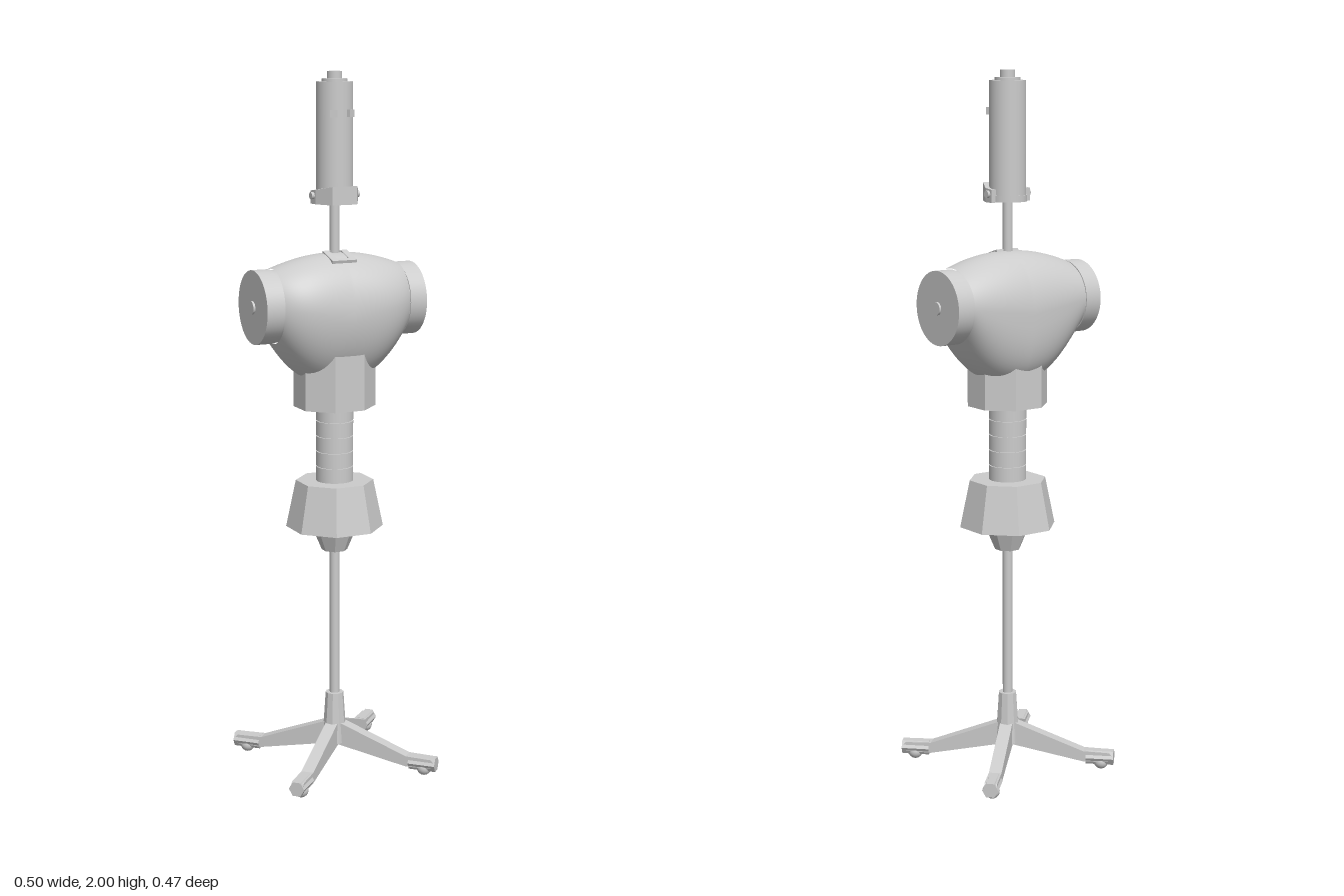
import * as THREE from 'three';
import { ParametricGeometry } from 'three/addons/geometries/ParametricGeometry.js';

const smooth = new THREE.MeshStandardMaterial({ color: 0xcccccc });
const faceted = new THREE.MeshStandardMaterial({ color: 0xcccccc, flatShading: true });

export function createModel() {
  const model = new THREE.Group();

  const add = (name, geometry, material = smooth, parent = model) => {
    const mesh = new THREE.Mesh(geometry, material);
    mesh.name = name;
    parent.add(mesh);
    return mesh;
  };
  // Upright round part between two heights
  const column = (name, y0, y1, r0, r1 = r0, sides = 40) => {
    const mesh = add(name, new THREE.CylinderGeometry(r1, r0, y1 - y0, sides), sides < 12 ? faceted : smooth);
    mesh.position.y = (y0 + y1) / 2;
    return mesh;
  };
  // Eight-sided part whose flats face the axes; sizes are half-widths
  const octagon = (name, y0, y1, w0, w1) => {
    const k = 1 / Math.cos(Math.PI / 8);
    const g = new THREE.CylinderGeometry(w1 * k, w0 * k, y1 - y0, 8, 1, false, Math.PI / 8);
    const mesh = add(name, g, faceted);
    mesh.position.y = (y0 + y1) / 2;
    return mesh;
  };

  // Stand: four splayed legs with pads, hub and pole
  const legShape = new THREE.Shape([
    [0, 0.14], [0.225, 0.055], [0.3, 0.053], [0.312, 0.04], [0.3, 0.026], [0.225, 0.024], [0, 0.068],
  ].map(([r, y]) => new THREE.Vector2(r, y)));
  const legGeometry = new THREE.ExtrudeGeometry(legShape, { depth: 0.036, bevelEnabled: false });
  legGeometry.translate(0, 0, -0.018);
  const footGeometry = new THREE.CylinderGeometry(0.023, 0.023, 0.08, 6);
  footGeometry.rotateZ(Math.PI / 2).translate(0.272, 0.036, 0);
  const padGeometry = new THREE.SphereGeometry(0.021, 20, 12);
  padGeometry.translate(0.275, 0.021, 0);
  for (let i = 0; i < 4; i++) {
    const leg = new THREE.Group();
    leg.name = 'standLeg';
    leg.rotation.y = Math.PI / 4 + i * Math.PI / 2;
    add('legBar', legGeometry, faceted, leg);
    add('foot', footGeometry, faceted, leg);
    add('footPad', padGeometry, smooth, leg);
    model.add(leg);
  }
  column('standHub', 0.07, 0.22, 0.036, 0.026, 10);
  column('pole', 0.2, 0.67, 0.014, 0.014, 24);

  // Pelvis
  octagon('pelvisCone', 0.65, 0.725, 0.034, 0.063);
  octagon('pelvis', 0.72, 0.855, 0.128, 0.102);

  // Waist: stacked segments around a thinner core
  column('waistCore', 0.85, 1.08, 0.048);
  for (let i = 0; i < 5; i++) {
    const y = 0.855 + i * 0.044;
    column('waistSegment', y, y + 0.041, 0.053);
  }

  // Chest: collar and a body swept from shoulder to shoulder
  octagon('chestCollar', 1.07, 1.25, 0.108, 0.108).scale.z = 0.93;
  const body = (u, v, p) => {
    const a = u * Math.PI * 2;
    const x = (v * 2 - 1) * 0.19;
    const t = Math.abs(x) / 0.19;
    const c = Math.cos(a), s = Math.sin(a);
    const middle = 1.34 + 0.025 * t;
    const up = 1.505 - 0.037 * t * t - middle;
    const down = middle - 1.135 - 0.125 * t ** 2.5;
    const depth = s > 0 ? 0.127 - 0.034 * t ** 4 : 0.13 - 0.017 * t * t;
    const n = c > 0 ? 2 : THREE.MathUtils.lerp(s > 0 ? 1.8 : 2.8, 2, t);
    const power = (k) => Math.sign(k) * Math.abs(k) ** (2 / n);
    p.set(x, middle + (c > 0 ? up : down) * power(c), depth * power(s));
  };
  add('torso', new ParametricGeometry(body, 64, 40));

  // Shoulder caps with centre pins
  for (const side of [-1, 1]) {
    const disc = (name, x0, x1, r) => {
      const g = new THREE.CylinderGeometry(r, r, x1 - x0, 48);
      g.rotateZ(Math.PI / 2);
      add(name, g).position.set(side * (x0 + x1) / 2, 1.363, -0.01);
    };
    disc('shoulderSeam', 0.18, 0.195, 0.1);
    disc('shoulderCap', 0.193, 0.243, 0.103);
    disc('shoulderPin', 0.24, 0.249, 0.018);
  }

  // Neck rod in a slotted bracket
  column('neck', 1.46, 1.67, 0.014, 0.014, 24);
  const frame = new THREE.Shape();
  frame.moveTo(-0.037, -0.035).lineTo(0.037, -0.035).lineTo(0.037, 0.035).lineTo(-0.037, 0.035).closePath();
  const slot = new THREE.Path();
  slot.moveTo(-0.018, -0.02).lineTo(-0.018, 0.035 - 0.005).lineTo(0.018, 0.03).lineTo(0.018, -0.02).closePath();
  frame.holes.push(slot);
  const bracketGeometry = new THREE.ExtrudeGeometry(frame, { depth: 0.028, bevelEnabled: false });
  bracketGeometry.rotateX(-Math.PI / 2);
  const bracket = add('neckBracket', bracketGeometry, faceted);
  bracket.position.set(0, 1.473, 0.026);
  bracket.rotation.x = 0.3;

  // Head: tall cylinder with stepped top
  column('head', 1.655, 1.972, 0.051);
  column('headRim', 1.97, 1.98, 0.036);
  column('headKnob', 1.975, 2.0, 0.021);
  column('headBase', 1.642, 1.66, 0.054);

  // Jaw: curved guard, deeper at the front than at the hinges
  const jawShape = new THREE.Shape();
  jawShape.moveTo(0.066, 0.015).lineTo(0.064, -0.015).lineTo(0.037, -0.066).lineTo(-0.037, -0.066)
    .lineTo(-0.064, -0.015).lineTo(-0.066, 0.015).lineTo(-0.05, 0.015).lineTo(-0.05, 0);
  jawShape.absarc(0, 0, 0.05, Math.PI, Math.PI * 2, false);
  jawShape.lineTo(0.05, 0.015);
  const jawGeometry = new THREE.ExtrudeGeometry(jawShape, { depth: 0.05, bevelEnabled: false, curveSegments: 20 });
  jawGeometry.rotateX(-Math.PI / 2);
  const jp = jawGeometry.attributes.position;
  for (let i = 0; i < jp.count; i++) {
    if (jp.getY(i) > 0.01) jp.setY(i, 0.036 + 0.22 * Math.max(0, jp.getZ(i)));
  }
  add('jaw', jawGeometry, faceted).position.y = 1.641;
  for (const side of [-1, 1]) {
    const hinge = new THREE.CylinderGeometry(0.01, 0.01, 0.014, 16);
    hinge.rotateZ(Math.PI / 2);
    add('jawHinge', hinge).position.set(side * 0.066, 1.664, 0);

    // Eyes
    const eye = add('eye', new THREE.BoxGeometry(0.02, 0.02, 0.014), faceted);
    eye.position.set(side * 0.025, 1.888, 0.048);
    eye.rotation.y = side * 0.48;
  }

  return model;
}
